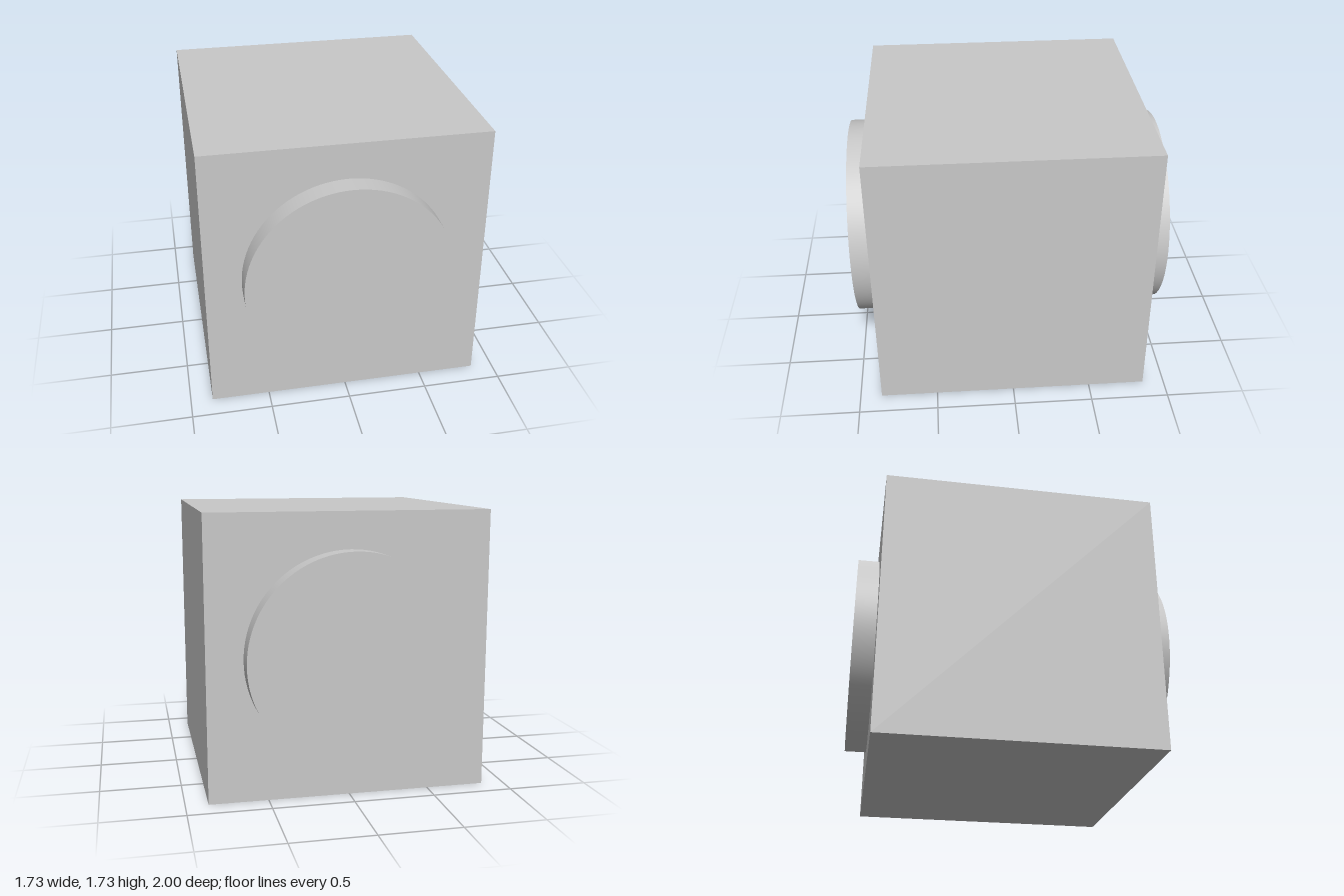
import * as THREE from 'three';

const SIDE = 1.725;   // cube edge
const RADIUS = 0.64;  // boss radius
const REACH = 1;      // boss end distance from the centre

export function createModel() {
  const model = new THREE.Group();
  model.name = 'cubeWithRoundBosses';
  const grey = new THREE.MeshStandardMaterial({ color: 0xc8c8c8 });
  grey.name = 'light grey';

  // Cube body
  const body = new THREE.Mesh(new THREE.BoxGeometry(SIDE, SIDE, SIDE), grey);
  body.name = 'body';
  body.position.y = SIDE / 2;
  model.add(body);

  // Round bosses on the front and back, sunk slightly into the body
  const inner = SIDE / 2 - 0.02;
  const bossGeometry = new THREE.CylinderGeometry(RADIUS, RADIUS, REACH - inner, 96);
  bossGeometry.rotateX(Math.PI / 2);
  for (const [name, dir] of [['frontBoss', 1], ['backBoss', -1]]) {
    const boss = new THREE.Mesh(bossGeometry, grey);
    boss.name = name;
    boss.position.set(0, SIDE / 2, dir * (REACH + inner) / 2);
    model.add(boss);
  }
  return model;
}
